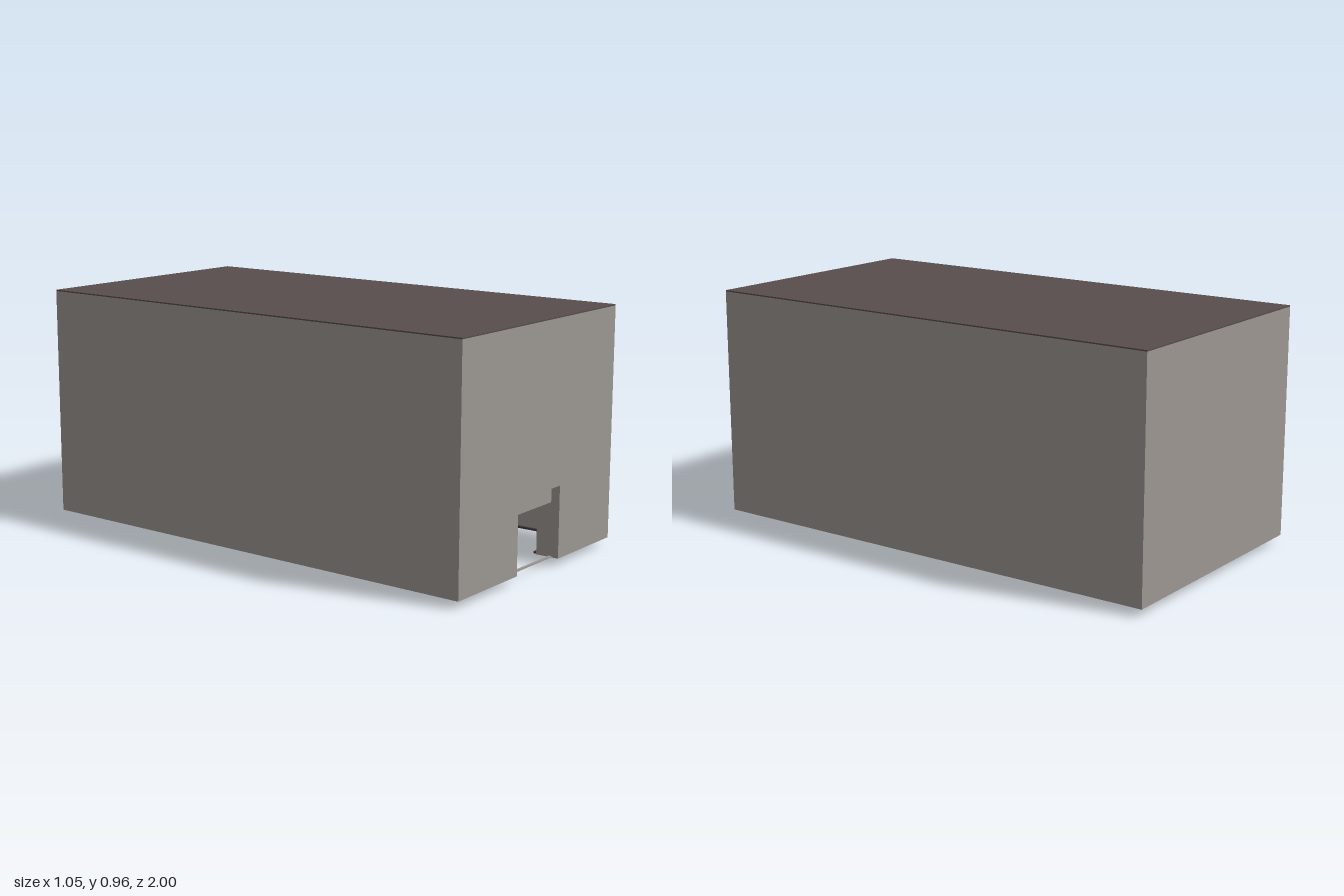
import * as THREE from 'three';

const mat = (name, color, side = THREE.FrontSide) => {
  const m = new THREE.MeshStandardMaterial({ color, side });
  m.name = name;
  return m;
};

export function createModel() {
  const root = new THREE.Group();
  root.name = 'stairHall';
  const wall = mat('warm grey wall', 0x9c9791);
  const roofMat = mat('dark roof', 0x574d4c);
  const stone = mat('column stone', 0xa09d98);
  const treadMat = mat('tread grey', 0x7d7976);
  const dark = mat('dark wood', 0x423b3b);
  const iron = mat('black iron', 0x222020);

  const add = (parent, name, geo, material, x = 0, y = 0, z = 0) => {
    const m = new THREE.Mesh(geo, material);
    m.name = name;
    m.position.set(x, y, z);
    parent.add(m);
    return m;
  };
  const box = (parent, name, material, w, h, d, x, y, z) =>
    add(parent, name, new THREE.BoxGeometry(w, h, d), material, x, y, z);

  // Shell: thick walls, open underneath
  const W = 0.525, T = 0.096, Y0 = 0.03, Y1 = 0.955, H = Y1 - Y0, midY = (Y0 + Y1) / 2;
  // Front wall in two layers, so the doorway steps down inside
  const doorWall = (top, depth, z, name) => {
    const s = new THREE.Shape();
    [[-W, Y0], [-0.145, Y0], [-0.145, top], [0.145, top], [0.145, Y0], [W, Y0], [W, Y1], [-W, Y1]]
      .forEach(([x, y], i) => (i ? s.lineTo(x, y) : s.moveTo(x, y)));
    add(root, name, new THREE.ExtrudeGeometry(s, { depth, bevelEnabled: false }), wall, 0, 0, z);
  };
  doorWall(0.315, 0.036, 0.964, 'frontWallOuter');
  doorWall(0.245, T - 0.036, 1 - T, 'frontWallInner');
  box(root, 'backWall', wall, 2 * W, H, T, 0, midY, -1 + T / 2);
  for (const s of [-1, 1]) box(root, 'sideWall', wall, T, H, 2 - 2 * T, s * (W - T / 2), midY, 0);
  box(root, 'ceiling', wall, 2 * (W - T), 0.04, 2 - 2 * T, 0, Y1 - 0.02, 0);
  box(root, 'roof', roofMat, 2 * W, 0.005, 2, 0, 0.9575, 0);
  box(root, 'threshold', wall, 0.29, 0.005, 0.012, 0, 0.0325, 0.965);

  // Baseboards along the inner walls
  const ix = W - T, iz = 1 - T;
  for (const s of [-1, 1]) {
    box(root, 'sideBaseboard', dark, 0.012, 0.008, 2 * iz, s * (ix - 0.006), 0.036, 0);
    box(root, 'frontBaseboard', dark, ix - 0.145, 0.008, 0.012, s * (ix + 0.145) / 2, 0.036, iz - 0.006);
  }
  box(root, 'backBaseboard', dark, 2 * ix, 0.008, 0.012, 0, 0.036, -iz + 0.006);

  // Spiral staircase around a central column
  const stair = new THREE.Group();
  stair.name = 'spiralStair';
  stair.position.z = -0.1;
  root.add(stair);
  add(stair, 'column', new THREE.CylinderGeometry(0.057, 0.057, 0.87, 32), stone, 0, 0.485, 0);
  add(stair, 'columnBase', new THREE.CylinderGeometry(0.067, 0.067, 0.02, 32), stone, 0, 0.04, 0);

  // Wedge from the column outwards along +z, standing on y = 0
  const wedge = (r0, r1, w0, w1, h) => {
    const s = new THREE.Shape();
    s.moveTo(-w0 / 2, -r0);
    s.lineTo(-w1 / 2, -r1);
    s.lineTo(w1 / 2, -r1);
    s.lineTo(w0 / 2, -r0);
    return new THREE.ExtrudeGeometry(s, { depth: h, bevelEnabled: false }).rotateX(-Math.PI / 2);
  };
  const block = wedge(0.05, 0.245, 0.045, 0.08, 0.033);
  const tread = wedge(0.05, 0.25, 0.055, 0.093, 0.013);
  const post = new THREE.CylinderGeometry(0.003, 0.003, 0.09, 6);
  const COUNT = 34, RISE = 0.02, TURN = THREE.MathUtils.degToRad(21), START = THREE.MathUtils.degToRad(9);
  const railPoints = [];
  for (let i = 0; i < COUNT; i++) {
    const a = START + i * TURN, y = i * RISE;
    const step = new THREE.Group();
    step.name = 'step';
    step.position.y = y;
    step.rotation.y = -a;
    stair.add(step);
    add(step, 'stepBlock', block, dark);
    add(step, 'stepTread', tread, treadMat, 0, 0.033, 0);
    add(step, 'railPost', post, iron, 0, 0.09, 0.238);
    railPoints.push(new THREE.Vector3(-Math.sin(a) * 0.238, y + 0.135, Math.cos(a) * 0.238));
  }
  const rail = new THREE.CatmullRomCurve3(railPoints);
  add(stair, 'handrail', new THREE.TubeGeometry(rail, 200, 0.004, 6), iron);

  // Pair of benches between the door and the stair
  for (const s of [-1, 1]) {
    const bench = new THREE.Group();
    bench.name = 'bench';
    bench.position.set(s * 0.295, 0, 0.29);
    root.add(bench);
    box(bench, 'benchBase', treadMat, 0.16, 0.006, 0.06, 0, 0.035, 0);
    for (let k = 0; k < 4; k++) box(bench, 'benchSlat', dark, 0.17, 0.012, 0.019, 0, 0.1, -0.033 + k * 0.022);
    for (const x of [-0.07, 0.07]) {
      box(bench, 'benchBearer', dark, 0.012, 0.01, 0.085, x, 0.09, 0);
      for (const z of [-0.026, 0.026]) box(bench, 'benchLeg', iron, 0.008, 0.05, 0.008, x, 0.062, z);
    }
  }
  return root;
}
